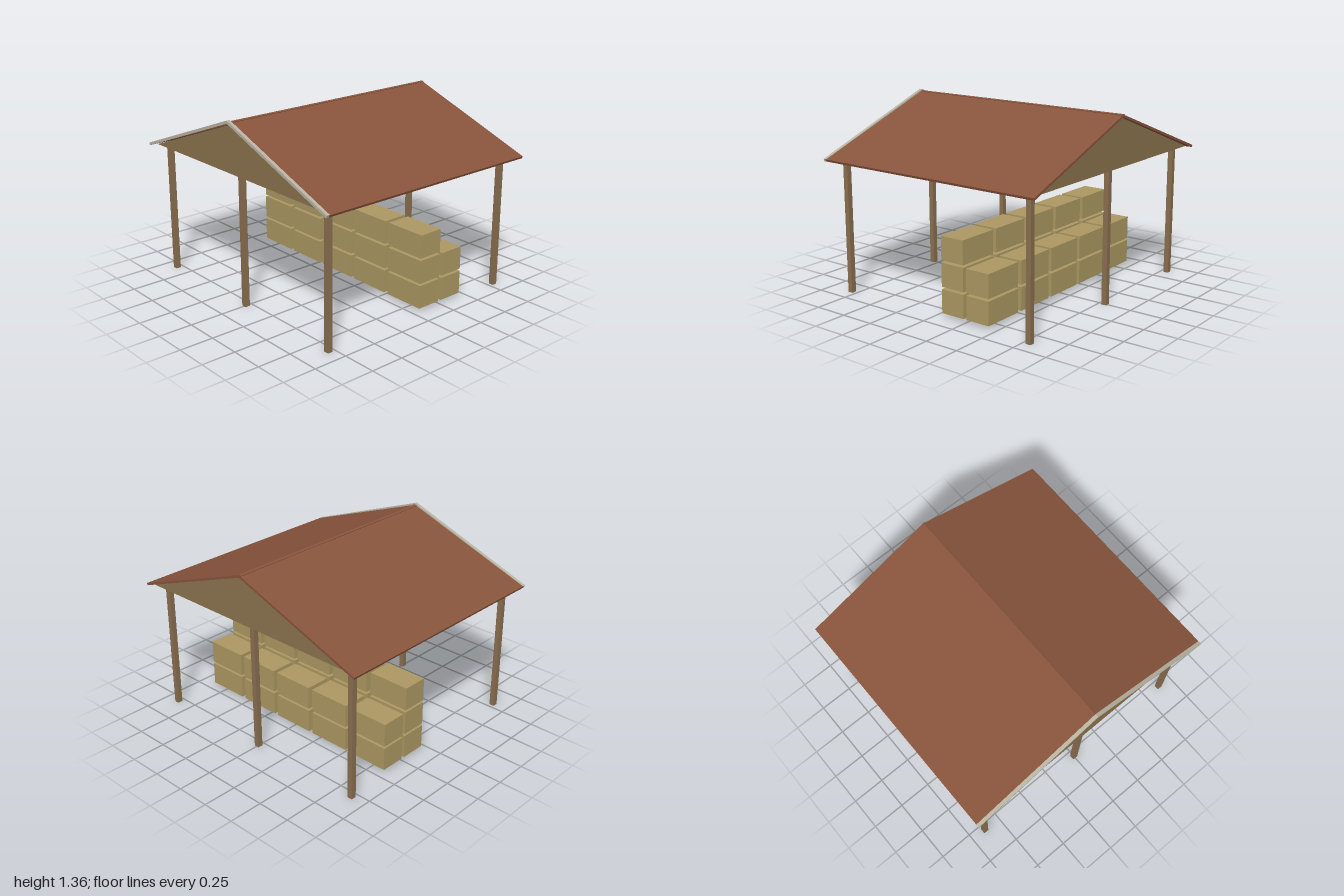
import * as THREE from 'three';

const paint = (name, color) => {
  const m = new THREE.MeshStandardMaterial({ color });
  m.name = name;
  return m;
};

export function createModel() {
  const root = new THREE.Group();
  root.name = 'hayShelter';
  const tile = paint('roofTile', 0x88543c);
  const plank = paint('plank', 0x8b734e);
  const timber = paint('timber', 0x8a6f50);
  const trim = paint('paleTrim', 0xbab3a2);
  const straw = paint('straw', 0xac9862);

  const add = (parent, name, geometry, material, x = 0, y = 0, z = 0) => {
    const mesh = new THREE.Mesh(geometry, material);
    mesh.name = name;
    mesh.position.set(x, y, z);
    parent.add(mesh);
    return mesh;
  };

  // Extrude an outline in x, y between two depths
  const prism = (points, back, front) => {
    const shape = new THREE.Shape(points.map(([x, y]) => new THREE.Vector2(x, y)));
    const g = new THREE.ExtrudeGeometry(shape, { depth: front - back, bevelEnabled: false });
    return g.translate(0, 0, back);
  };

  // Gable-shaped strip with ends cut square to the slope
  const chevron = (halfWidth, peak, eave, thick, back, front) => {
    const slope = Math.atan2(peak - eave, halfWidth);
    const dx = Math.sin(slope) * thick;
    const dy = Math.cos(slope) * thick;
    const drop = thick / Math.cos(slope);
    return prism([
      [-halfWidth, eave], [-halfWidth + dx, eave - dy], [0, peak - drop],
      [halfWidth - dx, eave - dy], [halfWidth, eave], [0, peak],
    ], back, front);
  };

  // Roof: solid boarded gable, tiled slopes, ridge cap and front trim
  const roof = new THREE.Group();
  roof.name = 'roof';
  root.add(roof);
  add(roof, 'gable', prism([[-0.93, 0.985], [0.93, 0.985], [0, 1.328]], -0.885, 0.875), plank);
  add(roof, 'roofSlopes', chevron(1, 1.348, 0.984, 0.017, -0.905, 0.885), tile);
  add(roof, 'ridgeCap', chevron(0.016, 1.352, 1.346, 0.01, -0.905, 0.885), tile);
  add(roof, 'frontTrim', chevron(1, 1.36, 0.986, 0.02, 0.88, 0.905), trim);

  // Three posts along the front and three along the back
  const postGeometry = new THREE.BoxGeometry(0.038, 0.987, 0.038);
  for (const z of [-0.795, 0.795])
    for (const x of [-0.885, 0, 0.885])
      add(root, z > 0 ? 'frontPost' : 'backPost', postGeometry, timber, x, 0.4935, z);

  // Bales: front row three high, back row two high
  const bales = new THREE.Group();
  bales.name = 'baleStack';
  root.add(bales);
  const baleGeometry = new THREE.BoxGeometry(0.318, 0.17, 0.187);
  const rows = [{ z: -0.142, layers: 3 }, { z: -0.355, layers: 2 }];
  for (const { z, layers } of rows)
    for (let layer = 0; layer < layers; layer++)
      for (let i = -2; i <= 2; i++)
        add(bales, 'bale', baleGeometry, straw, i * 0.353, 0.11 + layer * 0.187, z);

  return root;
}
